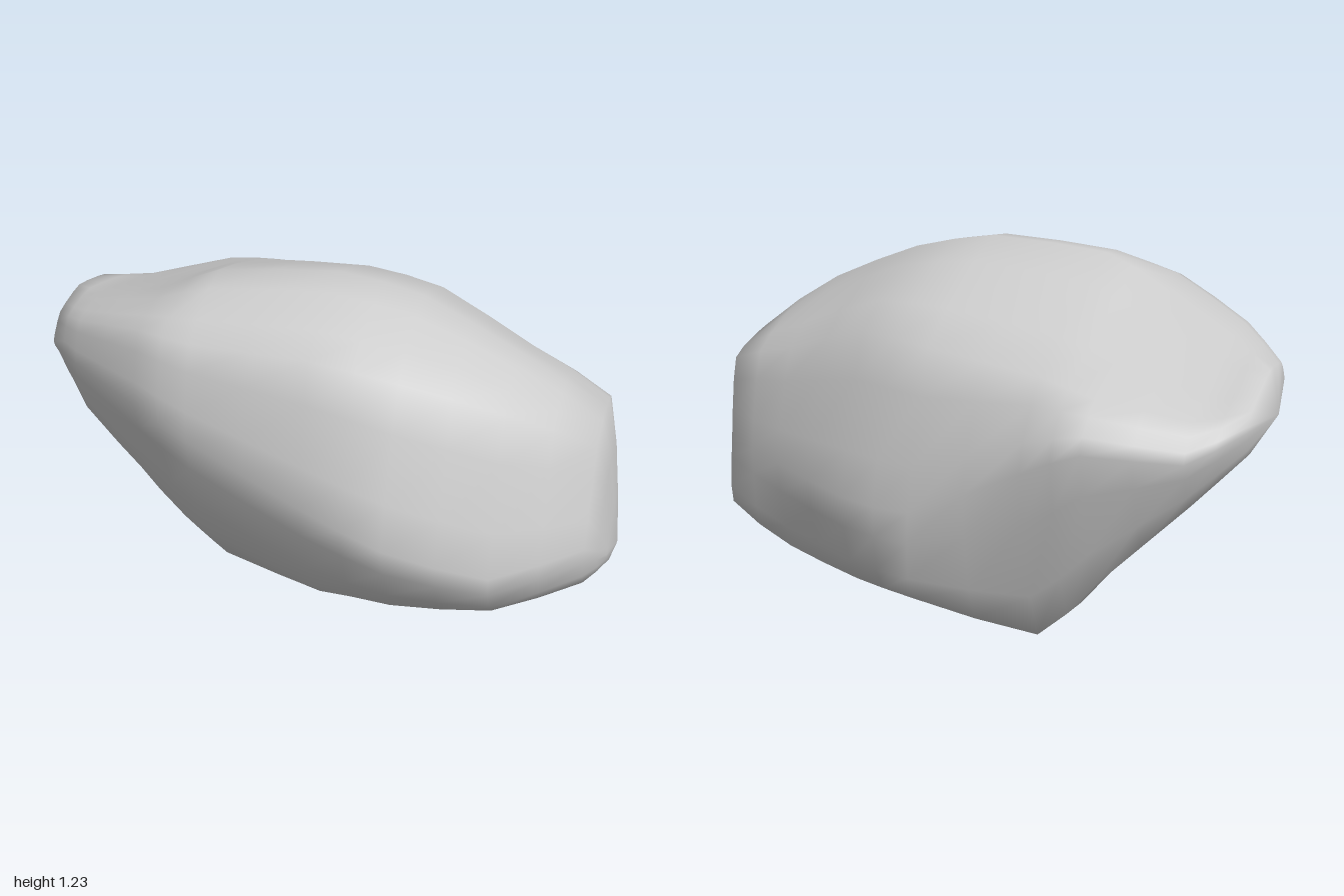
import * as THREE from 'three';

// Cross-sections along x. Each ring is z, y pairs running
// back, back-top, top, front-top, front, front-bottom, bottom, back-bottom
// (the small last ring has only back, top, front and bottom).
const sections = [
  [-0.95, [-.40, .87, -.34, .92, -.12, .97, .05, .94, .12, .86, .07, .80, -.12, .78, -.34, .78]],
  [-0.80, [-.54, .80, -.44, .90, .02, 1.02, .22, 1.00, .28, .87, .22, .68, .00, .58, -.43, .62]],
  [-0.52, [-.65, .83, -.52, .96, .14, 1.12, .40, 1.08, .47, .85, .36, .52, .10, .28, -.48, .32]],
  [-0.33, [-.65, .74, -.48, .99, .15, 1.205, .46, 1.08, .53, .78, .40, .38, .07, .07, -.47, .10]],
  [0.06, [-.60, .52, -.42, 1.01, .12, 1.23, .48, 1.08, .61, .64, .47, .27, .07, .00, -.58, .21]],
  [0.33, [-.53, .50, -.33, 1.00, .10, 1.17, .46, 1.03, .645, .55, .50, .26, .00, .06, -.44, .16]],
  [0.65, [-.37, .50, -.24, .87, .12, 1.02, .38, .93, .56, .45, .46, .27, -.08, .11, -.31, .16]],
  [0.92, [-.21, .50, -.15, .77, .07, .82, .25, .79, .39, .50, .36, .36, .10, .28, -.23, .25]],
  [0.98, [-.05, .45, .08, .52, .24, .40, .10, .30]],
];
const leftTip = new THREE.Vector3(1, 0.36, 0.09);
const rightTip = new THREE.Vector3(-1, 0.86, -0.19);
const AROUND = 24;   // points per ring
const STEPS = 2;     // rows between sections
const TENSION = 0.25; // low, for blunt chiselled corners

function ringPoints([x, zy]) {
  const corners = [];
  for (let i = 0; i < zy.length; i += 2) corners.push(new THREE.Vector3(x, zy[i + 1], zy[i]));
  const curve = new THREE.CatmullRomCurve3(corners, true, 'catmullrom', TENSION);
  return Array.from({ length: AROUND }, (_, i) => curve.getPoint(i / AROUND));
}

function rockGeometry() {
  const rings = sections.map(ringPoints);
  const rows = (sections.length - 1) * STEPS + 1;

  // Curves run lengthwise through matching ring points
  const lines = Array.from({ length: AROUND }, (_, i) =>
    new THREE.CatmullRomCurve3(rings.map((ring) => ring[i]), false, 'catmullrom', TENSION));
  const positions = [];
  for (let j = 0; j < rows; j++) {
    for (const line of lines) {
      const p = line.getPoint(j / (rows - 1));
      positions.push(p.x, Math.max(0, p.y), p.z);
    }
  }
  const rightEnd = rows * AROUND;
  const leftEnd = rightEnd + 1;
  positions.push(...rightTip.toArray(), ...leftTip.toArray());

  // Skin between rows, closed by a fan at each tip
  const index = [];
  for (let i = 0; i < AROUND; i++) {
    const n = (i + 1) % AROUND;
    for (let j = 0; j < rows - 1; j++) {
      const a = j * AROUND + i, b = j * AROUND + n;
      index.push(a, b, a + AROUND, b, b + AROUND, a + AROUND);
    }
    const last = (rows - 1) * AROUND;
    index.push(rightEnd, n, i, last + i, last + n, leftEnd);
  }

  const geometry = new THREE.BufferGeometry();
  geometry.setAttribute('position', new THREE.Float32BufferAttribute(positions, 3));
  geometry.setIndex(index);
  geometry.computeVertexNormals();
  return geometry;
}

export function createModel() {
  const group = new THREE.Group();
  group.name = 'boulder';
  const rock = new THREE.Mesh(rockGeometry(), new THREE.MeshStandardMaterial({ color: 0xcccccc }));
  rock.name = 'rock';
  group.add(rock);
  return group;
}
